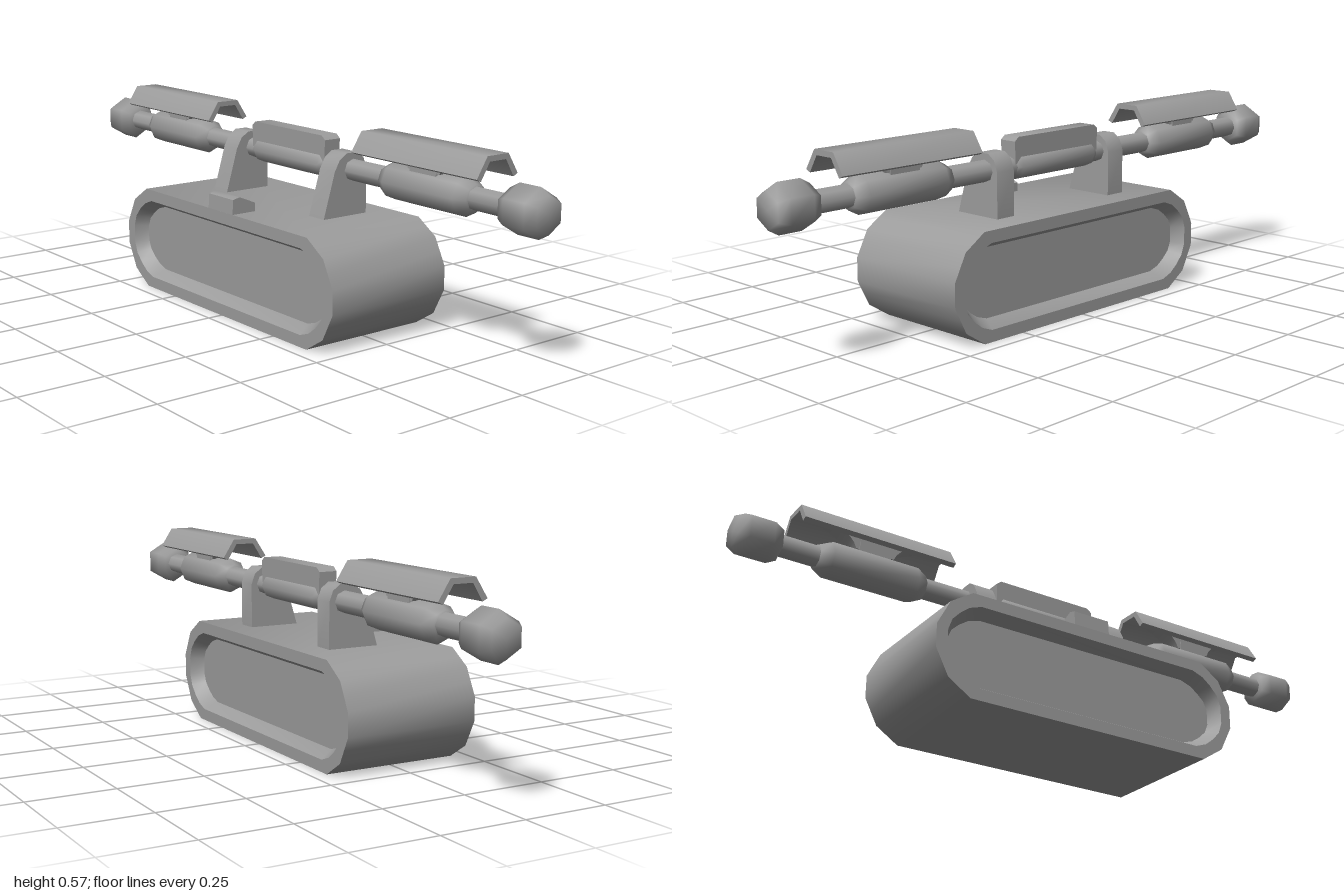
import * as THREE from 'three';
import { toCreasedNormals } from 'three/addons/utils/BufferGeometryUtils.js';

const AXIS_Y = 0.447, AXIS_Z = -0.07;

export function createModel() {
  const group = new THREE.Group();
  const material = new THREE.MeshStandardMaterial({ color: 0x9c9c9c });

  function add(name, geometry, x = 0, y = 0, z = 0, crease = 0.7) {
    const mesh = new THREE.Mesh(toCreasedNormals(geometry, crease), material);
    mesh.name = name;
    mesh.position.set(x, y, z);
    group.add(mesh);
  }

  const shapeOf = (pts) => new THREE.Shape(pts.map(([x, y]) => new THREE.Vector2(x, y)));

  // Extrude an outline, centred on its depth
  function slab(shape, depth) {
    const g = new THREE.ExtrudeGeometry(shape, { depth, bevelEnabled: false, curveSegments: 5 });
    return g.translate(0, 0, -depth / 2);
  }

  // Outline given as (z, y), swept along x
  const sideSlab = (pts, width) => slab(shapeOf(pts), width).rotateY(-Math.PI / 2);

  // Turned part along x; profile given as [x, radius]
  function turned(profile, sides) {
    const pts = profile.map(([x, r]) => new THREE.Vector2(r, x));
    return new THREE.LatheGeometry(pts, sides, Math.PI / 2).rotateZ(-Math.PI / 2);
  }

  // Mirror one quarter of an oblong into a full loop
  function oblong(quarter) {
    const back = [...quarter].reverse();
    return [
      ...quarter,
      ...back.map(([x, y]) => [-x, y]),
      ...quarter.map(([x, y]) => [-x, -y]),
      ...back.map(([x, y]) => [x, -y]),
    ];
  }

  // Body: faceted drum lofted through sections, with a rounder tapered recess at both ends
  const outer = oblong([[0.51, 0.035], [0.49, 0.0738], [0.47, 0.1125], [0.435, 0.135], [0.40, 0.1575]]);
  const inner = oblong([[0.51, 0.035], [0.497, 0.078], [0.47, 0.1125], [0.44, 0.14], [0.40, 0.1575]]);
  const section = (outline, inset, z) => outline.map(([x, y]) =>
    [x * (0.51 - inset) / 0.51, 0.1575 + y * (0.1575 - inset) / 0.1575, z]);
  const centre = (z) => outer.map(() => [0, 0.1575, z]);
  const loops = [
    centre(-0.165), section(inner, 0.056, -0.165), section(inner, 0.035, -0.205),
    section(outer, 0, -0.205), section(outer, 0, 0.205),
    section(inner, 0.035, 0.205), section(inner, 0.056, 0.165), centre(0.165),
  ];
  const index = [], n = outer.length;
  for (let i = 0; i < loops.length - 1; i++) {
    for (let j = 0; j < n; j++) {
      const a = i * n + j, b = i * n + (j + 1) % n;
      if (i > 0) index.push(a, b, a + n);
      if (i < loops.length - 2) index.push(b, b + n, a + n);
    }
  }
  const body = new THREE.BufferGeometry();
  body.setAttribute('position', new THREE.Float32BufferAttribute(loops.flat(2), 3));
  body.setIndex(index);
  add('body', body);

  // Wedge-shaped tab on the front edge
  add('frontTab', sideSlab(
    [[0.125, 0.313], [0.205, 0.313], [0.202, 0.358], [0.18, 0.364], [0.125, 0.341]], 0.12));

  // Cross bar
  add('crossBar', turned([[-0.9, 0.032], [0.9, 0.032]], 8), 0, AXIS_Y, AXIS_Z, 0.9);

  // Central sleeve with a raised plate on top
  add('centreSleeve', turned([
    [-0.172, 0], [-0.172, 0.03], [-0.15, 0.04], [0.15, 0.04], [0.172, 0.03], [0.172, 0],
  ], 8), 0, AXIS_Y, AXIS_Z, 0.9);
  add('centrePlate', slab(shapeOf([
    [-0.172, 0], [0.172, 0], [0.175, 0.075],
    [0.16, 0.087], [-0.16, 0.087], [-0.175, 0.075],
  ]), 0.056), 0, AXIS_Y, AXIS_Z, 0.9);

  for (const s of [-1, 1]) {
    const side = s > 0 ? 'left' : 'right';
    const mid = s * 0.585;

    // Bracket carrying the bar
    add(side + 'Bracket', sideSlab([
      [0.038, 0.312], [-0.002, 0.448], [-0.02, 0.48], [-0.045, 0.497],
      [-0.085, 0.497], [-0.108, 0.48], [-0.12, 0.448], [-0.12, 0.312],
    ], 0.066), s * 0.235);

    // Hexagonal end knob, softly shaded
    add(side + 'Knob', turned([
      [-0.065, 0], [-0.065, 0.05], [-0.035, 0.067], [0.035, 0.067], [0.065, 0.05], [0.065, 0],
    ], 6), s * 0.935, AXIS_Y, AXIS_Z, 1.5);

    // Thick sleeve on the bar
    add(side + 'Sleeve', turned([
      [-0.168, 0], [-0.168, 0.038], [-0.135, 0.055], [0.135, 0.055], [0.168, 0.038], [0.168, 0],
    ], 8), mid, AXIS_Y, AXIS_Z, 1.2);

    // Collar and flared post under the cover
    add(side + 'Collar', new THREE.BoxGeometry(0.1, 0.06, 0.062), mid, 0.49, AXIS_Z);
    const flare = new THREE.Shape();
    flare.moveTo(-0.06, 0);
    flare.lineTo(0.06, 0);
    flare.quadraticCurveTo(0.075, 0.045, 0.15, 0.065);
    flare.lineTo(-0.15, 0.065);
    flare.quadraticCurveTo(-0.075, 0.045, -0.06, 0);
    add(side + 'CoverPost', slab(flare, 0.056), mid, 0.495, AXIS_Z);

    // Folded cover plate, softly shaded across the folds
    add(side + 'Cover', sideSlab([
      [0.074, 0.517], [0.038, 0.573], [-0.038, 0.573], [-0.074, 0.517],
      [-0.059, 0.51], [-0.029, 0.558], [0.029, 0.558], [0.059, 0.51],
    ], 0.48), mid, 0, AXIS_Z, 1.1);
  }

  return group;
}
